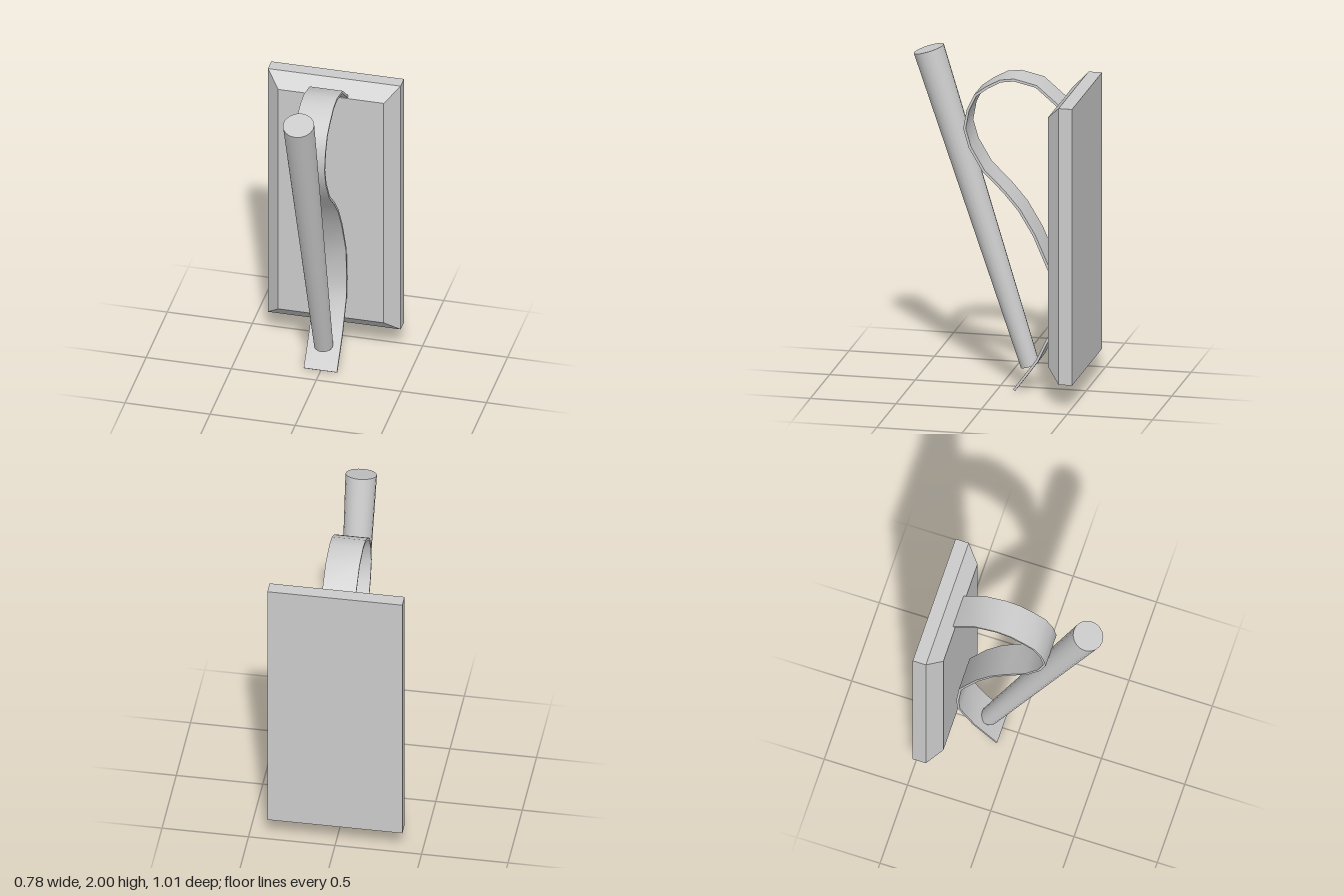
import * as THREE from 'three';
import { toCreasedNormals } from 'three/addons/utils/BufferGeometryUtils.js';

const material = new THREE.MeshStandardMaterial({ color: 0xcccccc });

function addMesh(group, name, geometry) {
  const mesh = new THREE.Mesh(geometry, material);
  mesh.name = name;
  group.add(mesh);
  return mesh;
}

// Wall plate: a box with a middle ring, its front face drawn in to a chamfer
function plateGeometry() {
  const halfW = 0.39, halfH = 0.82, chamfer = 0.08, midY = 0.96;
  const geo = new THREE.BoxGeometry(2, 2, 2, 1, 1, 2);
  const p = geo.attributes.position;
  for (let i = 0; i < p.count; i++) {
    const layer = Math.round(p.getZ(i)); // -1 back, 0 edge, 1 front
    const inset = layer > 0 ? chamfer : 0;
    p.setXYZ(i,
      Math.sign(p.getX(i)) * (halfW - inset),
      midY + Math.sign(p.getY(i)) * (halfH - inset),
      -0.426 + layer * 0.079);
  }
  const flat = geo.toNonIndexed();
  flat.computeVertexNormals();
  return flat;
}

// Curved strip: a centre line in (z, y), thickened both ways and extruded along x
function stripGeometry() {
  const width = 0.195, half = 0.0075;
  const line = [
    [-0.365, 1.70], [-0.23, 1.815], [-0.10, 1.845], [-0.02, 1.834], [0.06, 1.79],
    [0.127, 1.74], [0.17, 1.65], [0.19, 1.54], [0.158, 1.43], [0.078, 1.295],
    [-0.04, 1.18], [-0.13, 1.075], [-0.217, 0.93], [-0.317, 0.70], [-0.333, 0.50],
    [-0.325, 0.375], [-0.233, 0.185], [-0.10, 0.004],
  ].map(([z, y]) => new THREE.Vector2(z, y));
  const offset = (d) => line.map((pt, i) => {
    const a = line[Math.max(i - 1, 0)], b = line[Math.min(i + 1, line.length - 1)];
    const t = b.clone().sub(a).normalize();
    return new THREE.Vector2(pt.x - t.y * d, pt.y + t.x * d);
  });
  const outline = [...offset(half), ...offset(-half).reverse()];
  const geo = new THREE.ExtrudeGeometry(new THREE.Shape(outline), { depth: width, bevelEnabled: false });
  geo.translate(0, 0, -width / 2);
  geo.rotateY(-Math.PI / 2);
  return toCreasedNormals(geo, 0.7);
}

export function createModel() {
  const group = new THREE.Group();
  group.name = 'wallLever';

  addMesh(group, 'backPlate', plateGeometry());
  addMesh(group, 'curvedStrip', stripGeometry());

  // Leaning tapered rod
  const bottom = new THREE.Vector3(0, 0.132, -0.172);
  const top = new THREE.Vector3(0, 1.973, 0.42);
  const axis = top.clone().sub(bottom);
  const rod = addMesh(group, 'taperedRod',
    new THREE.CylinderGeometry(0.09, 0.055, axis.length(), 18));
  rod.position.copy(bottom).lerp(top, 0.5);
  rod.quaternion.setFromUnitVectors(new THREE.Vector3(0, 1, 0), axis.normalize());

  return group;
}
